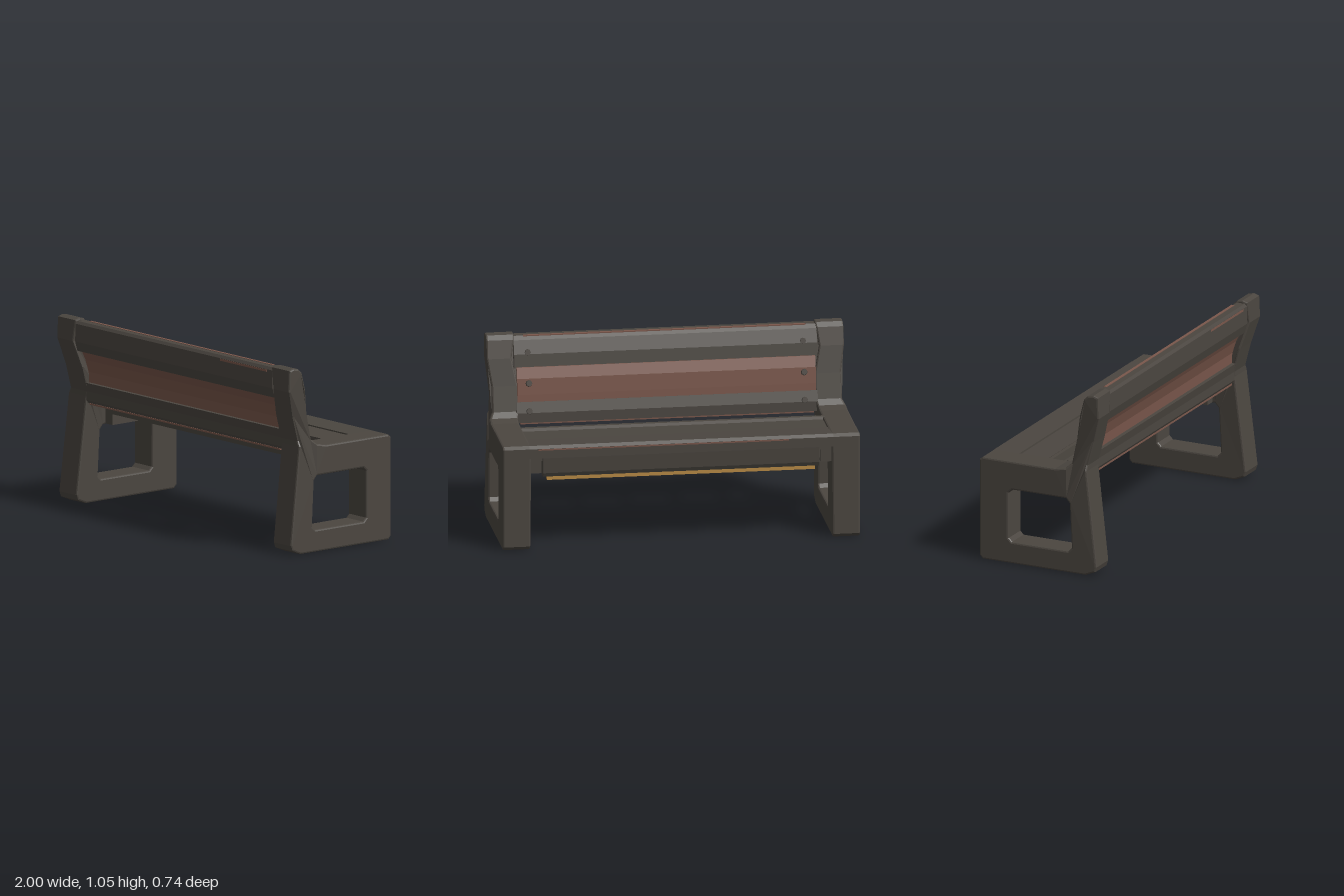
import * as THREE from 'three';

const charcoal = new THREE.MeshStandardMaterial({ name: 'charcoal', color: 0x4b4640 });
const brown = new THREE.MeshStandardMaterial({ name: 'reddish brown', color: 0x7a574b });
const gold = new THREE.MeshStandardMaterial({ name: 'gold', color: 0xb98b45 });

// piecewise linear lookup in a list of [key, value]
function lookup(table, y) {
  for (let i = 1; i < table.length; i++) {
    const [a, va] = table[i - 1], [b, vb] = table[i];
    if (y <= b) return va + (vb - va) * Math.max(0, (y - a) / (b - a));
  }
  return table[table.length - 1][1];
}

// profile points are [z, y]; the result runs along x, centred on 0
function extrudeAlongX(points, width, bevel = 0, hole = null) {
  const toV = ([z, y]) => new THREE.Vector2(-z, y);
  const shape = new THREE.Shape(points.map(toV));
  if (hole) shape.holes.push(new THREE.Path(hole.map(toV)));
  const depth = width - 2 * bevel;
  const geo = new THREE.ExtrudeGeometry(shape, {
    depth, bevelEnabled: bevel > 0, bevelThickness: bevel, bevelSize: bevel,
    bevelOffset: -bevel, bevelSegments: 2,
  });
  geo.translate(0, 0, -depth / 2);
  geo.rotateY(Math.PI / 2);
  return geo;
}

function addMesh(group, name, geo, mat, x = 0, y = 0, z = 0) {
  const mesh = new THREE.Mesh(geo, mat);
  mesh.name = name;
  mesh.position.set(x, y, z);
  group.add(mesh);
  return mesh;
}

// side frame: leg loop, armrest shoulder and back upright in one piece
const FRAME = [
  [-0.35, 0.005], [-0.37, 0.025], [-0.37, 0.585], [-0.35, 0.6], [0.1, 0.6], [0.16, 0.612],
  [0.19, 0.64], [0.22, 0.78], [0.25, 0.93], [0.275, 1.03], [0.30, 1.053], [0.335, 1.06],
  [0.365, 1.05], [0.37, 0.93], [0.327, 0.78], [0.29, 0.64], [0.29, 0.61],
  [0.355, 0.06], [0.345, 0.03], [0.285, 0.005],
];
const HOLE = [
  [-0.17, 0.13], [-0.19, 0.15], [-0.19, 0.415], [-0.17, 0.435],
  [0.165, 0.435], [0.187, 0.41], [0.20, 0.15], [0.18, 0.13],
];
const OUTER = [[0, 1], [0.6, 1], [0.64, 0.977], [0.78, 0.977], [0.93, 1], [1.06, 1]];
const INNER = [[0, 0.845], [0.6, 0.84], [0.64, 0.83], [0.78, 0.83], [0.93, 0.86], [1.06, 0.84]];

function sideFrame(s) {
  const width = 0.16;
  const geo = extrudeAlongX(FRAME, width, 0.01, HOLE);
  const p = geo.attributes.position;
  for (let i = 0; i < p.count; i++) {
    const y = p.getY(i), o = lookup(OUTER, y), n = lookup(INNER, y);
    p.setX(i, s * (o + n) / 2 + (o - n) * p.getX(i) / width);
  }
  geo.computeVertexNormals();
  return geo;
}

export function createModel() {
  const bench = new THREE.Group();
  bench.name = 'bench';

  for (const s of [1, -1]) {
    const side = s > 0 ? 'left' : 'right';
    addMesh(bench, side + 'SideFrame', sideFrame(s), charcoal);
    // brackets under the seat
    addMesh(bench, side + 'SeatBracket', new THREE.BoxGeometry(0.07, 0.1, 0.5), charcoal, s * 0.815, 0.49, -0.1);
    // bolts on the boards
    const bolt = new THREE.CylinderGeometry(0.016, 0.02, 0.016, 8);
    addMesh(bench, side + 'SeatBolt', bolt, charcoal, s * 0.76, 0.566, 0.07);
    for (const [y, z] of [[0.795, 0.205], [0.96, 0.257], [0.64, 0.185]]) {
      addMesh(bench, side + 'BackBolt', bolt, charcoal, s * 0.77, y, z).rotation.x = -Math.PI / 2 + 0.2;
    }
  }

  // backrest boards
  const back = new THREE.Group();
  back.name = 'backrest';
  bench.add(back);
  const top = [[0.238, 0.875], [0.25, 0.95], [0.278, 1.025], [0.30, 1.045], [0.35, 1.045], [0.362, 1.03], [0.364, 0.93], [0.348, 0.875]];
  const middle = [[0.2, 0.685], [0.203, 0.73], [0.212, 0.82], [0.232, 0.88], [0.33, 0.88], [0.3, 0.82], [0.278, 0.75], [0.275, 0.685]];
  const lower = [[0.18, 0.575], [0.182, 0.63], [0.2, 0.69], [0.298, 0.69], [0.288, 0.64], [0.288, 0.59], [0.28, 0.575]];
  addMesh(back, 'topBackBoard', extrudeAlongX(top, 1.7, 0.004), charcoal);
  addMesh(back, 'middleBackBoard', extrudeAlongX(middle, 1.67), brown);
  addMesh(back, 'lowerBackBoard', extrudeAlongX(lower, 1.69, 0.004), charcoal);
  // painted edges
  addMesh(back, 'topEdgeStripe', new THREE.BoxGeometry(1.58, 0.006, 0.018), brown, 0, 1.044, 0.304);
  addMesh(back, 'rearTopStripe', new THREE.BoxGeometry(0.4, 0.012, 0.006), brown, 0.6, 1.022, 0.361);
  addMesh(back, 'lowerEdgeStripe', new THREE.BoxGeometry(1.64, 0.009, 0.1), brown, 0, 0.571, 0.234);

  // seat boards over a thin base
  const seat = new THREE.Group();
  seat.name = 'seat';
  bench.add(seat);
  const front = [[-0.37, 0.53], [-0.37, 0.585], [-0.352, 0.6], [-0.203, 0.595], [-0.203, 0.53]];
  const mid = [[-0.196, 0.53], [-0.196, 0.59], [-0.03, 0.588], [-0.012, 0.6], [0.01, 0.6], [0.015, 0.53]];
  const rear = [[0.024, 0.505], [0.024, 0.555], [0.155, 0.558], [0.163, 0.55], [0.163, 0.505]];
  addMesh(seat, 'frontSeatBoard', extrudeAlongX(front, 1.7), charcoal);
  addMesh(seat, 'middleSeatBoard', extrudeAlongX(mid, 1.7), charcoal);
  addMesh(seat, 'rearSeatBoard', extrudeAlongX(rear, 1.65), charcoal);
  addMesh(seat, 'seatBase', new THREE.BoxGeometry(1.68, 0.04, 0.38), charcoal, 0, 0.53, -0.155);
  addMesh(seat, 'frontEdgeStripe', new THREE.BoxGeometry(1.4, 0.008, 0.006), brown, 0.1, 0.58, -0.369);

  // front apron and the strip below it
  const apron = [[-0.362, 0.53], [-0.355, 0.44], [-0.345, 0.418], [-0.305, 0.418], [-0.285, 0.45], [-0.27, 0.53]];
  addMesh(seat, 'frontApron', extrudeAlongX(apron, 1.55, 0.004), charcoal);
  addMesh(seat, 'lightStrip', new THREE.BoxGeometry(1.5, 0.022, 0.03), gold, 0, 0.409, -0.33);

  return bench;
}
